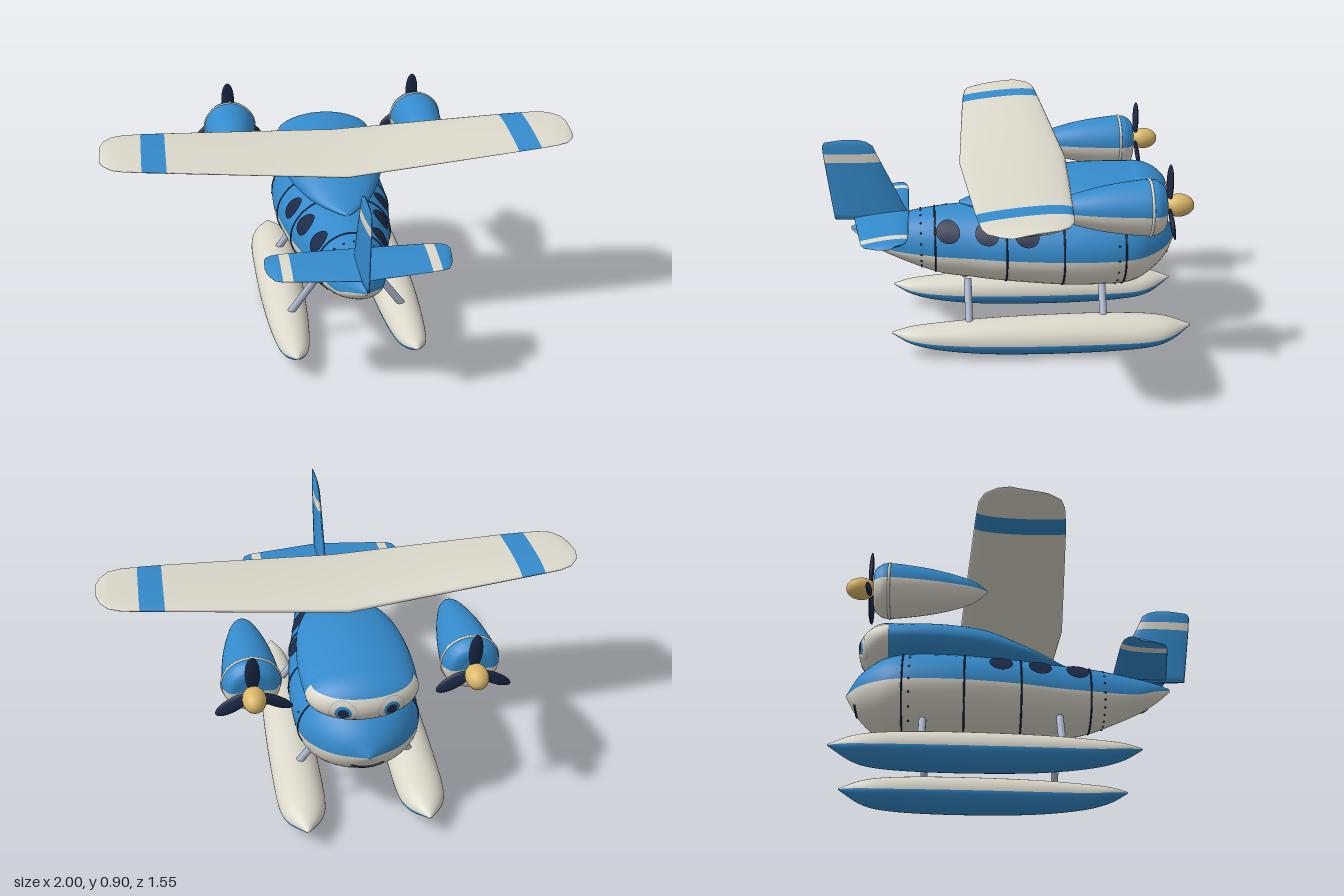
import * as THREE from 'three';

const mat = (name, color, side = THREE.FrontSide) => {
  const m = new THREE.MeshStandardMaterial({ color, side });
  m.name = name;
  return m;
};
const blue = mat('blue paint', 0x348acb);
const cream = mat('cream paint', 0xdbd8cb);
const navy = mat('navy trim', 0x1b2a48, THREE.DoubleSide);
const gold = mat('gold spinner', 0xd9b668);
const steel = mat('pale steel', 0xa9b3c9, THREE.DoubleSide);

function add(parent, name, geometry, material, x = 0, y = 0, z = 0) {
  const m = new THREE.Mesh(geometry, material);
  m.name = name;
  m.position.set(x, y, z);
  parent.add(m);
  return m;
}

// Skin over closed rings of points; pick(i, j) says which of the two paints a cell gets
function skin(rings, pick) {
  const n = rings[0].length, cells = [[], []];
  for (let i = 0; i < rings.length - 1; i++) {
    for (let j = 0; j < n; j++) {
      const k = (j + 1) % n, a = i * n + j, b = a + n, c = i * n + k, d = c + n;
      cells[pick(i, j)].push(a, b, c, b, d, c);
    }
  }
  const g = new THREE.BufferGeometry();
  g.setAttribute('position', new THREE.Float32BufferAttribute(rings.flat(2), 3));
  g.setIndex([...cells[0], ...cells[1]]);
  g.addGroup(0, cells[0].length, 0);
  g.addGroup(cells[0].length, cells[1].length, 1);
  g.computeVertexNormals();
  return g;
}

// Smooth body from stations [z, halfWidth, mid, top, bottom], tail to nose
function makeBody(stations) {
  const c1 = new THREE.CatmullRomCurve3(stations.map(s => new THREE.Vector3(s[0], s[1], s[2])), false, 'catmullrom', 0.5);
  const c2 = new THREE.CatmullRomCurve3(stations.map(s => new THREE.Vector3(s[0], s[3], s[4])), false, 'catmullrom', 0.5);
  const at = t => {
    const p = c1.getPoint(t), q = c2.getPoint(t);
    return { z: p.x, w: Math.max(p.y, 0.001), mid: p.z, top: q.y, bot: q.z };
  };
  const ring = (t, n = 40, grow = 0) => {
    const s = at(t);
    return Array.from({ length: n }, (_, j) => {
      const a = j / n * Math.PI * 2, sn = Math.sin(a);
      return [(s.w + grow) * Math.cos(a), s.mid + sn * ((j < n / 2 ? s.top - s.mid : s.mid - s.bot) + grow), s.z];
    });
  };
  const tAt = z => {
    let lo = 0, hi = 1;
    for (let i = 0; i < 30; i++) { const m = (lo + hi) / 2; if (at(m).z > z) lo = m; else hi = m; }
    return lo;
  };
  const geometry = (steps = 60) =>
    skin(Array.from({ length: steps + 1 }, (_, i) => ring(i / steps)), (i, j) => (j < 20 ? 0 : 1));
  return { at, ring, tAt, geometry };
}

// Aerofoil surface from stations [s, lead, trail, height, halfThickness]
function foil(stations, upright, isStripe) {
  const n = 28;
  const rings = stations.map(([s, lead, trail, h, t]) => Array.from({ length: n }, (_, j) => {
    const a = j / n * Math.PI * 2, z = (lead + trail) / 2 + (trail - lead) / 2 * Math.cos(a);
    const d = t * Math.sin(a) * (1 - 0.35 * Math.cos(a));
    return upright ? [-d, s, z] : [s, h + d - 0.01 * Math.cos(a), z];
  }));
  return skin(rings, i => (isStripe(stations[i][0], stations[i + 1][0]) ? 1 : 0));
}
const mirrored = half => [...half.slice(1).reverse().map(([s, ...r]) => [-s, ...r]), ...half];
const between = (lo, hi) => (a, b) => Math.abs((a + b) / 2) > lo && Math.abs((a + b) / 2) < hi;

export function createModel() {
  const plane = new THREE.Group();
  plane.name = 'floatplane';

  // Fuselage
  const hull = makeBody([
    [0.668, 0.004, 0.492, 0.5, 0.485], [0.6, 0.05, 0.465, 0.52, 0.43], [0.5, 0.1, 0.425, 0.543, 0.377],
    [0.31, 0.152, 0.412, 0.575, 0.295], [0.15, 0.185, 0.41, 0.587, 0.268], [0, 0.22, 0.41, 0.598, 0.25],
    [-0.23, 0.252, 0.41, 0.61, 0.231], [-0.4, 0.256, 0.41, 0.615, 0.228], [-0.52, 0.242, 0.411, 0.607, 0.235],
    [-0.6, 0.203, 0.415, 0.58, 0.27], [-0.68, 0.125, 0.425, 0.52, 0.34], [-0.74, 0.002, 0.437, 0.44, 0.434]]);
  add(plane, 'fuselage', hull.geometry(88), [blue, cream]);

  // Panel seams and rivets
  for (const z of [0.31, 0.01, -0.23, -0.49]) {
    const pts = hull.ring(hull.tAt(z)).map(p => new THREE.Vector3(...p));
    add(plane, 'panelSeam', new THREE.TubeGeometry(new THREE.CatmullRomCurve3(pts, true), 80, 0.004, 5, true), navy);
  }
  const rivet = new THREE.SphereGeometry(0.005, 6, 4);
  for (const z of [0.37, -0.46]) {
    hull.ring(hull.tAt(z), 20).forEach(p => add(plane, 'rivet', rivet, navy, ...p));
  }

  // Cabin windows laid on the hull sides
  for (const side of [-1, 1]) {
    for (const z of [0.255, 0.092, -0.075]) {
      const g = new THREE.RingGeometry(0.001, 0.05, 28, 4), p = g.attributes.position;
      for (let i = 0; i < p.count; i++) {
        const wz = z + p.getX(i), wy = 0.514 + p.getY(i) * 0.86, s = hull.at(hull.tAt(wz));
        const k = (wy - s.mid) / (s.top - s.mid + 0.004);
        p.setXYZ(i, side * (s.w * Math.sqrt(Math.max(0, 1 - k * k)) + 0.006), wy, wz);
      }
      g.computeVertexNormals();
      add(plane, 'cabinWindow', g, navy);
    }
  }

  // Smile curved over the nose
  const smile = Array.from({ length: 9 }, (_, i) => {
    const x = (i - 4) * 0.016, y = 0.352 + x * x * 5;
    let lo = 0.6, hi = 0.999;
    for (let k = 0; k < 30; k++) {
      const m = (lo + hi) / 2, s = hull.at(m);
      if ((x / s.w) ** 2 + ((y - s.mid) / (s.mid - s.bot)) ** 2 < 1) lo = m; else hi = m;
    }
    return new THREE.Vector3(x, y, hull.at(lo).z);
  });
  add(plane, 'smile', new THREE.TubeGeometry(new THREE.CatmullRomCurve3(smile), 24, 0.006, 6), navy);

  // Cockpit hump with rounded brow and windshield
  const hump = makeBody([
    [0.205, 0.008, 0.6, 0.605, 0.595], [0.1, 0.095, 0.605, 0.638, 0.575], [0, 0.15, 0.612, 0.678, 0.565],
    [-0.14, 0.2, 0.628, 0.727, 0.555], [-0.3, 0.225, 0.638, 0.745, 0.545], [-0.45, 0.23, 0.64, 0.747, 0.54],
    [-0.555, 0.225, 0.64, 0.745, 0.535]]);
  add(plane, 'cockpitHump', hump.geometry(), [blue, blue]);
  const split = 1.08, rx = 0.225, ry = 0.105, rz = 0.137;
  const brow = add(plane, 'brow', new THREE.SphereGeometry(1, 40, 12, 0, Math.PI * 2, 0, split), blue, 0, 0.64, -0.555);
  brow.scale.set(rx + 0.003, ry + 0.002, rz + 0.004);
  const shield = add(plane, 'windshield',
    new THREE.SphereGeometry(1, 40, 20, Math.PI, Math.PI, split, Math.PI - split), cream, 0, 0.64, -0.555);
  shield.scale.set(rx, ry, rz);

  // Eyes laid on the windshield
  const eyePart = (name, cx, cy, r0, r1, lift, m) => {
    const g = new THREE.RingGeometry(r0, r1, 28, 3), p = g.attributes.position;
    for (let i = 0; i < p.count; i++) {
      const x = cx + p.getX(i), y = cy + p.getY(i);
      const k = Math.max(0, 1 - (x / rx) ** 2 - ((y - 0.64) / ry) ** 2);
      p.setXYZ(i, x, y, -0.555 - rz * Math.sqrt(k) - lift);
    }
    g.computeVertexNormals();
    add(plane, name, g, m);
  };
  const iris = blue.clone();
  iris.side = THREE.DoubleSide;
  for (const s of [-1, 1]) {
    eyePart('eyeOutline', s * 0.095, 0.63, 0.052, 0.055, 0.002, steel);
    eyePart('iris', s * 0.095, 0.632, 0.001, 0.032, 0.003, iris);
    eyePart('pupil', s * 0.095, 0.632, 0.001, 0.021, 0.005, navy);
  }

  // Main wing with blue bands
  const wing = mirrored([
    [0, -0.25, 0.2, 0.783, 0.03], [0.4, -0.223, 0.18, 0.811, 0.024], [0.73, -0.2, 0.163, 0.834, 0.018],
    [0.83, -0.192, 0.155, 0.84, 0.016], [0.9, -0.185, 0.147, 0.844, 0.014], [0.95, -0.165, 0.13, 0.846, 0.012],
    [0.985, -0.12, 0.085, 0.847, 0.009], [1, -0.065, 0.045, 0.847, 0.001]]);
  add(plane, 'wing', foil(wing, false, between(0.73, 0.83)), [cream, blue]);

  // Tailplane and fin with cream bands
  const tail = mirrored([
    [0, 0.42, 0.655, 0.55, 0.013], [0.275, 0.421, 0.62, 0.55, 0.011], [0.315, 0.424, 0.614, 0.55, 0.01],
    [0.345, 0.43, 0.6, 0.55, 0.009], [0.368, 0.445, 0.55, 0.55, 0.006], [0.376, 0.47, 0.5, 0.55, 0.001]]);
  add(plane, 'tailplane', foil(tail, false, between(0.275, 0.315)), [blue, cream]);
  const fin = [
    [0.533, 0.58, 0.6, 0, 0.001], [0.534, 0.422, 0.735, 0, 0.018], [0.56, 0.425, 0.739, 0, 0.018],
    [0.79, 0.532, 0.768, 0, 0.013], [0.828, 0.55, 0.772, 0, 0.012], [0.86, 0.563, 0.774, 0, 0.01],
    [0.878, 0.59, 0.765, 0, 0.007], [0.888, 0.63, 0.69, 0, 0.001]];
  add(plane, 'tailFin', foil(fin, true, between(0.79, 0.828)), [blue, cream]);

  // Floats with struts, and engines with propellers, on both sides
  const floatShape = makeBody([
    [0.5, 0.004, 0.108, 0.113, 0.104], [0.42, 0.05, 0.09, 0.13, 0.062], [0.3, 0.072, 0.078, 0.142, 0.03],
    [0.1, 0.09, 0.073, 0.155, 0.008], [-0.15, 0.1, 0.072, 0.162, 0.002], [-0.4, 0.102, 0.073, 0.163, 0.006],
    [-0.58, 0.097, 0.075, 0.155, 0.02], [-0.68, 0.072, 0.085, 0.14, 0.045], [-0.775, 0.003, 0.106, 0.11, 0.102]]).geometry();
  const nacelleShape = makeBody([
    [-0.14, 0.004, 0.725], [-0.19, 0.042, 0.722], [-0.25, 0.065, 0.72], [-0.35, 0.09, 0.72], [-0.46, 0.107, 0.72],
    [-0.55, 0.114, 0.72], [-0.585, 0.1, 0.72], [-0.602, 0.08, 0.72], [-0.604, 0.04, 0.722], [-0.605, 0.002, 0.724]
  ].map(([z, r, y]) => [z, r, y, y + r, y - r])).geometry();

  for (const s of [-1, 1]) {
    add(plane, 'float', floatShape, [cream, blue], s * 0.25, 0, 0);
    for (const z of [0.175, -0.4]) {
      const strut = add(plane, 'floatStrut', new THREE.CylinderGeometry(0.016, 0.016, 0.2, 14), steel, s * 0.19, 0.215, z);
      strut.rotation.z = s * Math.atan2(0.1, 0.14);
    }

    const engine = new THREE.Group();
    engine.name = 'engine';
    engine.position.x = s * 0.43;
    plane.add(engine);
    add(engine, 'nacelle', nacelleShape, [blue, cream]);
    add(engine, 'cowlRing', new THREE.TorusGeometry(0.113, 0.006, 8, 40), cream, 0, 0.72, -0.54);
    add(engine, 'spinner', new THREE.SphereGeometry(1, 24, 16), gold, 0, 0.728, -0.658).scale.set(0.046, 0.046, 0.062);
    for (let i = 0; i < 3; i++) {
      const arm = new THREE.Group();
      arm.name = 'propellerBlade';
      arm.position.set(0, 0.728, -0.62);
      arm.rotation.z = i * Math.PI * 2 / 3;
      engine.add(arm);
      const blade = add(arm, 'blade', new THREE.SphereGeometry(1, 16, 12), navy, 0, 0.093, 0);
      blade.scale.set(0.03, 0.078, 0.01);
      blade.rotation.y = 0.2;
    }
  }
  return plane;
}
